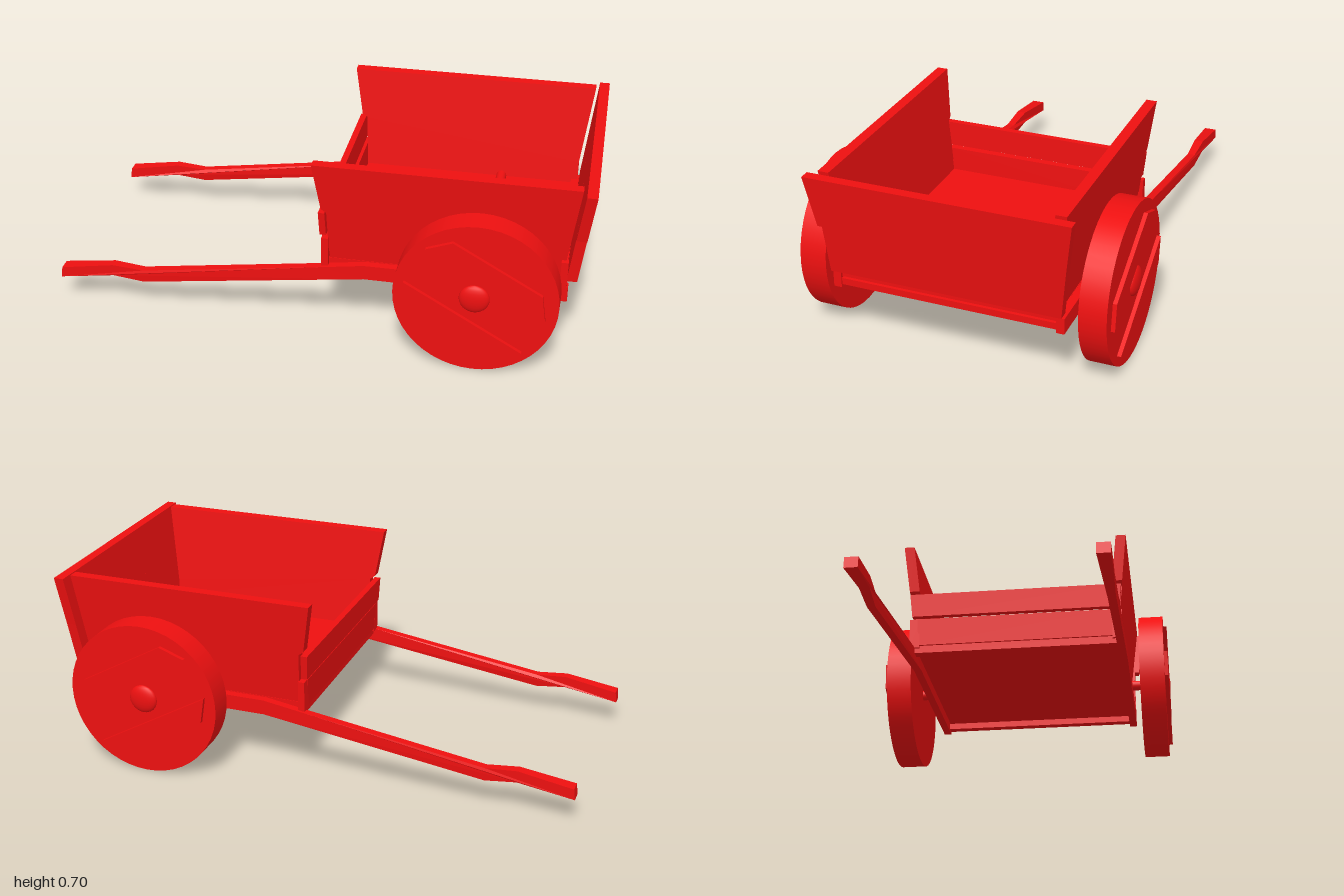
import * as THREE from 'three';

const red = new THREE.MeshStandardMaterial({ color: 0xee1010 });

// Flat plate from an outline in x/y, centred on z = 0
function plate(points, thickness) {
  const shape = new THREE.Shape(points.map(([x, y]) => new THREE.Vector2(x, y)));
  const geo = new THREE.ExtrudeGeometry(shape, { depth: thickness, bevelEnabled: false });
  return geo.translate(0, 0, -thickness / 2);
}

// Moves every vertex by a rule
function bend(geo, rule) {
  const pos = geo.attributes.position;
  const v = new THREE.Vector3();
  for (let i = 0; i < pos.count; i++) {
    v.fromBufferAttribute(pos, i);
    rule(v);
    pos.setXYZ(i, v.x, v.y, v.z);
  }
  geo.computeVertexNormals();
  return geo;
}

export function createModel() {
  const cart = new THREE.Group();
  cart.name = 'handcart';

  const add = (name, geo, parent = cart) => {
    const mesh = new THREE.Mesh(geo, red);
    mesh.name = name;
    parent.add(mesh);
    return mesh;
  };
  const box = (name, x0, x1, y0, y1, z0, z1) =>
    add(name, new THREE.BoxGeometry(x1 - x0, y1 - y0, z1 - z0)
      .translate((x0 + x1) / 2, (y0 + y1) / 2, (z0 + z1) / 2));
  // Board lying across the cart, outline in z/y, leaning along x
  const crossBoard = (name, outline, thickness, x, lean, y0) =>
    add(name, bend(plate(outline, thickness).rotateY(-Math.PI / 2),
      v => { v.x += x + lean * (v.y - y0); }));

  // Floor and its cross beams
  box('floor', 0.04, 0.91, 0.28, 0.3, -0.4, 0.4);
  box('frontBeam', 0.03, 0.07, 0.25, 0.285, -0.4, 0.4);
  box('rearBeam', 0.88, 0.915, 0.25, 0.275, -0.4, 0.4);
  box('rearFloorEdge', 0.88, 0.91, 0.29, 0.315, -0.4, 0.4);

  for (const s of [-1, 1]) {
    const side = s > 0 ? 'front' : 'back';

    // Shaft with a kinked, widened grip
    const shaft = plate([
      [-1, 0.105], [-0.79, 0.135], [-0.67, 0.12], [0.18, 0.24], [0.92, 0.24],
      [0.92, 0.3], [0.18, 0.297], [0.02, 0.272], [-0.67, 0.17], [-0.79, 0.18], [-0.995, 0.147],
    ], 0.03);
    add(side + 'Shaft', bend(shaft, v => {
      const grip = THREE.MathUtils.clamp((-v.x - 0.67) / 0.33, 0, 1);
      v.z = v.z * (1 + 0.6 * grip) + s * (0.415 - 0.004 * grip);
    }));

    // Side walls lean outward
    const leanOut = v => { v.z += s * (0.38 + 0.115 * (v.y - 0.3)); };
    add(side + 'UpperSideBoard', bend(plate([
      [0.045, 0.342], [0.905, 0.325], [0.905, 0.39], [0.945, 0.7], [-0.01, 0.7], [0.02, 0.515], [0.04, 0.5],
    ], 0.04), leanOut));
    add(side + 'LowerSideBoard', bend(plate([
      [0.05, 0.285], [0.9, 0.285], [0.905, 0.325], [0.045, 0.342],
    ], 0.036), leanOut));

    // Corner posts
    box(side + 'FrontPost', 0.02, 0.045, 0.27, 0.39, s * 0.4 - 0.02, s * 0.4 + 0.02);
  }
  box('rearCornerPost', 0.89, 0.915, 0.3, 0.4, 0.405, 0.43);

  // Low front wall of two boards
  crossBoard('lowerFrontBoard', [[-0.385, 0.28], [0.385, 0.28], [0.39, 0.39], [-0.39, 0.39]], 0.028, 0.036, -0.04, 0.28);
  crossBoard('upperFrontBoard', [[-0.41, 0.4], [0.41, 0.4], [0.42, 0.495], [-0.42, 0.495]], 0.024, 0.024, -0.04, 0.4);

  // Tailboard of two boards, leaning back
  crossBoard('lowerTailBoard', [[-0.43, 0.32], [0.42, 0.32], [0.43, 0.503], [-0.453, 0.503]], 0.038, 0.931, 0.122, 0.32);
  crossBoard('upperTailBoard', [[-0.453, 0.503], [0.447, 0.503], [0.48, 0.695], [-0.48, 0.695]], 0.038, 0.953, 0.122, 0.5);

  // Axle
  add('axle', new THREE.CylinderGeometry(0.02, 0.02, 1.06, 20).rotateX(Math.PI / 2).translate(0.6, 0.302, 0));

  // Wheels: solid disc, two raised planks and a domed hub
  const planks = [
    [[-0.18, 0.195], [0.25, -0.05], [0.235, 0.05], [-0.085, 0.23]],
    [[-0.24, -0.05], [0.09, -0.23], [0.175, -0.195], [-0.255, 0.05]],
  ];
  for (const s of [-1, 1]) {
    const wheel = new THREE.Group();
    wheel.name = s > 0 ? 'frontWheel' : 'backWheel';
    wheel.position.set(0.605, 0.295, s * 0.52);
    cart.add(wheel);
    add('disc', new THREE.CylinderGeometry(0.295, 0.295, 0.1, 48).rotateX(Math.PI / 2), wheel);
    for (const p of planks) add('raisedPlank', plate(p, 0.02).translate(0, 0, s * 0.055), wheel);
    add('hub', new THREE.SphereGeometry(0.055, 24, 12).scale(1, 1, 0.36).translate(-0.003, 0.005, s * 0.05), wheel);
  }
  return cart;
}
